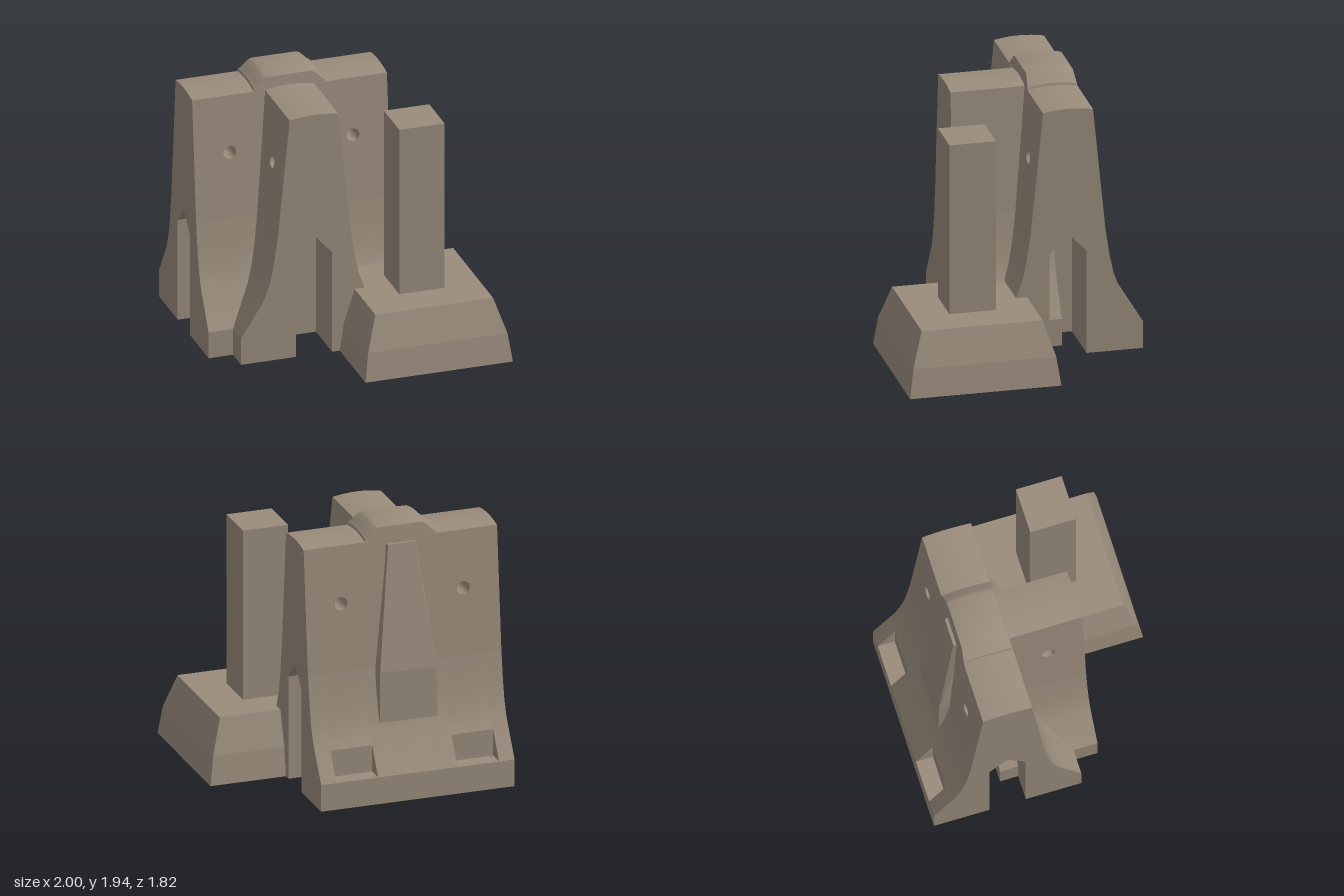
import * as THREE from 'three';
import { toCreasedNormals } from 'three/addons/utils/BufferGeometryUtils.js';

const WALL_Z = -0.365, ARM_X = -0.28;   // centre planes of the wall and its arm
const SPLIT = 0.92, TOP = 1.832;        // flared foot below, straight taper above
const FOOT = [[0.54, 0], [0.54, 0.2], [0.375, 0.46], [0.33, 0.58], [0.3, 0.72], [0.27, SPLIT]];
const POCKET_FOOT = [[0.54, 0], [0.54, 0.2], [0.415, 0.2], [0.415, 0.397], ...FOOT.slice(2)];

const halfWidth = (y) => 0.27 - 0.09 * (y - SPLIT) / (TOP - SPLIT);
const polygon = (pts) => new THREE.Shape(pts.map((p) => new THREE.Vector2(p[0], p[1])));

// Cross-section of the flared foot, optionally with an arched slot cut up from below
function footShape({ slot = false, pocket = false, frontLimit = 1 }) {
  const right = FOOT.map(([w, y]) => [Math.min(w, frontLimit), y]);
  const left = (pocket ? POCKET_FOOT : FOOT).map(([w, y]) => [-w, y]).reverse();
  const arch = slot ? [[-0.133, 0], [-0.133, 0.77], [0, 0.915], [0.133, 0.77], [0.133, 0]] : [];
  return polygon([...right, ...left, ...arch]);
}

function extrude(shape, depth, steps = 1) {
  return new THREE.ExtrudeGeometry(shape, { depth, steps, bevelEnabled: false, curveSegments: 24 });
}

// Tapered upper slab with through holes and a gently crowned top
function slab(a, b, holes) {
  const shape = polygon([[a, SPLIT], [b, SPLIT], [b, TOP], [a, TOP]]);
  for (const u of holes) {
    const hole = new THREE.Path();
    hole.absarc(u, 1.41, 0.047, 0, Math.PI * 2, true);
    shape.holes.push(hole);
  }
  const geo = extrude(shape, 2, 8);
  const p = geo.attributes.position;
  for (let i = 0; i < p.count; i++) {
    const t = p.getZ(i) - 1, y = p.getY(i);
    p.setZ(i, t * halfWidth(y));
    if (y > TOP - 0.001) p.setY(i, y + 0.018 * (1 - t * t));
  }
  return geo;
}

export function createModel() {
  const model = new THREE.Group();
  model.name = 'concreteBarrier';
  const concrete = new THREE.MeshStandardMaterial({ color: 0x9a8c7c });
  concrete.name = 'concrete';

  const add = (name, geo, parent = model, crease = 0.5) => {
    const mesh = new THREE.Mesh(toCreasedNormals(geo, crease), concrete);
    mesh.name = name;
    parent.add(mesh);
    return mesh;
  };

  // Wall foot: slots in both ends, lifting pockets in the back
  const wall = new THREE.Group();
  wall.name = 'wall';
  model.add(wall);
  const sections = [
    [-1, -0.885, { slot: true }],
    [-0.885, -0.575, { slot: true, pocket: true }],
    [-0.575, -0.413, {}],
    [-0.413, -0.147, { frontLimit: 0.365 }],
    [-0.147, 0.015, {}],
    [0.015, 0.325, { slot: true, pocket: true }],
    [0.325, 0.44, { slot: true }],
  ];
  for (const [a, b, options] of sections) {
    const geo = extrude(footShape(options), b - a).rotateY(-Math.PI / 2);
    add('wallFoot', geo.translate(b, 0, WALL_Z), wall);
  }
  add('wallUpper', slab(-1, 0.44, [-0.735, 0.175]).translate(0, 0, WALL_Z), wall);

  // Arm projecting from the front of the wall
  const arm = new THREE.Group();
  arm.name = 'arm';
  model.add(arm);
  for (const [a, b, slot] of [[WALL_Z, 0, false], [0, 0.35, true]]) {
    add('armFoot', extrude(footShape({ slot }), b - a).translate(ARM_X, 0, a), arm);
  }
  add('armUpper', slab(WALL_Z, 0.35, [0.09]).rotateY(-Math.PI / 2).translate(ARM_X, 0, 0), arm);

  // Raised cap in the middle of the wall top
  const side = [[0.27, 1.82], [0.26, 1.85], [0.235, 1.868], [0.19, 1.915], [0.165, 1.925]];
  const capGeo = extrude(polygon([...side, ...side.map(([x, y]) => [-x, y]).reverse()]), 2, 8);
  const cp = capGeo.attributes.position;
  for (let i = 0; i < cp.count; i++) {
    const t = cp.getZ(i) - 1, y = cp.getY(i);
    cp.setZ(i, t * (0.181 - 0.12 * (y - 1.82)));
    if (y > 1.83) cp.setY(i, y + 0.019 * (1 - t * t));
  }
  add('topCap', capGeo.translate(ARM_X, 0, WALL_Z));

  // Tapered rib on the back: each row is [y, half width, outer z]
  const rows = [[0.48, 0.215, -0.715], [0.9, 0.21, -0.71], [1.8, 0.1, -0.57]];
  const ribGeo = new THREE.BoxGeometry(2, 2, 2, 1, 2, 1);
  const rp = ribGeo.attributes.position;
  for (let i = 0; i < rp.count; i++) {
    const [y, half, outer] = rows[Math.round(rp.getY(i)) + 1];
    const back = rp.getZ(i) < 0;
    rp.setXYZ(i, ARM_X + rp.getX(i) * (half + (back ? 0 : 0.03)), y, back ? outer : -0.5);
  }
  add('backRib', ribGeo, model, 0.1);

  // Separate footing block with a square post
  const profile = [[0, 0], [0.545, 0], [0.515, 0.21], [0.435, 0.46], [0, 0.46]]
    .map(([r, y]) => new THREE.Vector2(r * Math.SQRT2, y));
  const footing = new THREE.LatheGeometry(profile, 4).rotateY(Math.PI / 4);
  add('footing', footing.translate(0.455, 0, 0.365), model, 0.1);
  add('post', new THREE.BoxGeometry(0.335, 1.28, 0.335).translate(0.455, 1.09, 0.367));

  return model;
}
